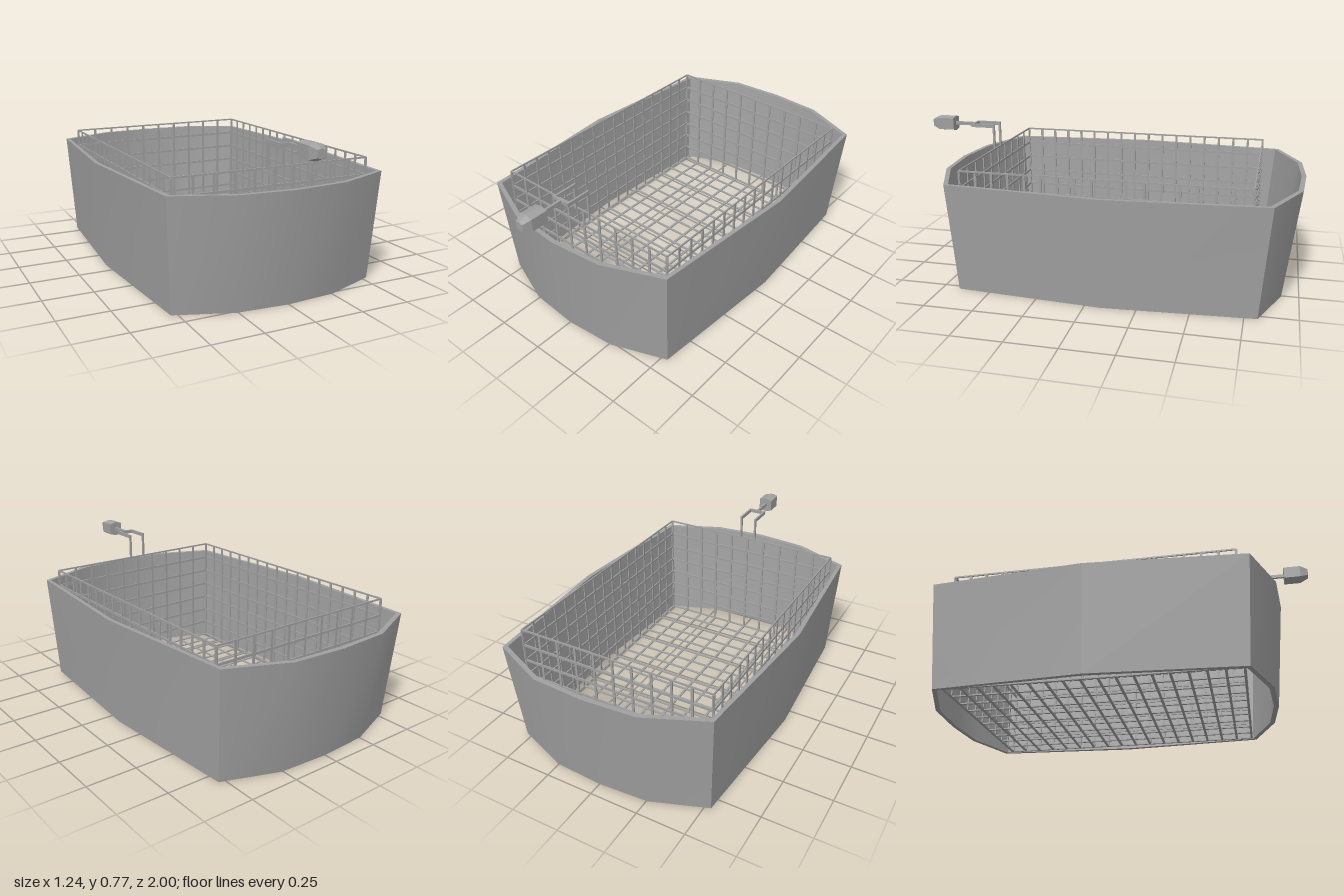
import * as THREE from 'three';
import { mergeGeometries, toCreasedNormals } from 'three/addons/utils/BufferGeometryUtils.js';

const metal = new THREE.MeshStandardMaterial({ color: 0xa0a0a0 });
metal.name = 'grey metal';

function box(x0, x1, y0, y1, z0, z1) {
  return new THREE.BoxGeometry(x1 - x0, y1 - y0, z1 - z0)
    .translate((x0 + x1) / 2, (y0 + y1) / 2, (z0 + z1) / 2);
}

function addMesh(parent, name, geometry) {
  const mesh = new THREE.Mesh(geometry, metal);
  mesh.name = name;
  parent.add(mesh);
}

// Closed surface through matching rings of points; caps fill both ends
function loft(rings, caps, crease) {
  const n = rings[0].length, pos = rings.flat(2), idx = [];
  for (let r = 0; r < rings.length - 1; r++) {
    for (let i = 0; i < n; i++) {
      const a = r * n + i, b = r * n + (i + 1) % n;
      idx.push(a, b, b + n, a, b + n, a + n);
    }
  }
  if (caps) {
    const last = (rings.length - 1) * n;
    for (let i = 1; i < n - 1; i++) {
      idx.push(0, i + 1, i, last, last + i, last + i + 1);
    }
  }
  const g = new THREE.BufferGeometry();
  g.setAttribute('position', new THREE.Float32BufferAttribute(pos, 3));
  g.setIndex(idx);
  return toCreasedNormals(g, crease);
}

// Ring of the tub: right half from front centre to back centre, then mirrored
function tubRing(y, half) {
  const mirrored = half.slice(1, -1).reverse().map(([x, z]) => [-x, z]);
  return [...half, ...mirrored].map(([x, z]) => [x, y, z]);
}

export function createModel() {
  const group = new THREE.Group();
  group.name = 'wireBasketTub';

  // Flared, open-bottomed shell with bowed sides
  const outerTop = [[0, 0.843], [0.27, 0.818], [0.56, 0.698], [0.621, -0.085], [0.56, -0.855], [0.27, -0.983], [0, -1]];
  const outerBottom = [[0, 0.785], [0.255, 0.765], [0.53, 0.662], [0.582, -0.08], [0.53, -0.812], [0.255, -0.915], [0, -0.93]];
  const innerTop = [[0, 0.82], [0.265, 0.796], [0.541, 0.682], [0.6, -0.085], [0.541, -0.838], [0.265, -0.96], [0, -0.977]];
  const innerBottom = [[0, 0.76], [0.25, 0.74], [0.512, 0.645], [0.558, -0.08], [0.512, -0.795], [0.25, -0.893], [0, -0.908]];
  const H = 0.55;
  addMesh(group, 'shell', loft([
    tubRing(0, innerBottom), tubRing(0, outerBottom), tubRing(H, outerTop),
    tubRing(H, innerTop), tubRing(0, innerBottom),
  ], false, 0.6));

  // Wire cage: 10 x 17 cells on the floor, 7 rows up the walls
  const X = 0.51, Z0 = -0.765, Z1 = 0.637, Y0 = 0.005, Y1 = 0.61;
  const w = 0.006, t = 0.003;
  const floor = [], walls = [];
  for (let i = 0; i <= 10; i++) {
    const x = -X + i * 2 * X / 10;
    floor.push(box(x - w, x + w, Y0 - t, Y0 + t, Z0, Z1));
    for (const z of [Z0, Z1]) walls.push(box(x - w, x + w, Y0, Y1, z - t, z + t));
  }
  for (let i = 0; i <= 17; i++) {
    const z = Z0 + i * (Z1 - Z0) / 17;
    floor.push(box(-X, X, Y0 - t, Y0 + t, z - w, z + w));
    for (const x of [-X, X]) walls.push(box(x - t, x + t, Y0, Y1, z - w, z + w));
  }
  for (let i = 1; i <= 7; i++) {
    const y = Y0 + i * (Y1 - Y0) / 7, h = i === 7 ? 0.004 : w;
    for (const x of [-X, X]) walls.push(box(x - t, x + t, y - h, y + h, Z0, Z1));
    for (const z of [Z0, Z1]) walls.push(box(-X, X, y - h, y + h, z - t, z + t));
  }
  addMesh(group, 'cageFloor', mergeGeometries(floor));
  addMesh(group, 'cageWalls', mergeGeometries(walls));

  // Forked handle rods
  const rods = [
    box(-0.048, 0.048, 0.725, 0.743, 0.755, 0.766),
    box(-0.006, 0.006, 0.725, 0.743, 0.76, 0.89),
  ];
  for (const x of [-0.043, 0.043]) {
    rods.push(box(x - 0.005, x + 0.005, 0.605, 0.743, 0.634, 0.645));
    rods.push(box(x - 0.005, x + 0.005, 0.725, 0.743, 0.634, 0.766));
  }
  addMesh(group, 'handleRods', mergeGeometries(rods));

  // Six-sided grip with a tapered nose
  const grip = [[0, -0.04], [0.037, -0.031], [0.037, 0.031], [0, 0.04], [-0.037, 0.031], [-0.037, -0.031]];
  const gripRing = (z, s) => grip.map(([x, y]) => [x * s, 0.734 + y * s, z]);
  addMesh(group, 'handleGrip', loft([gripRing(0.875, 1), gripRing(0.96, 1), gripRing(1, 0.55)], true, 0.2));

  return group;
}
